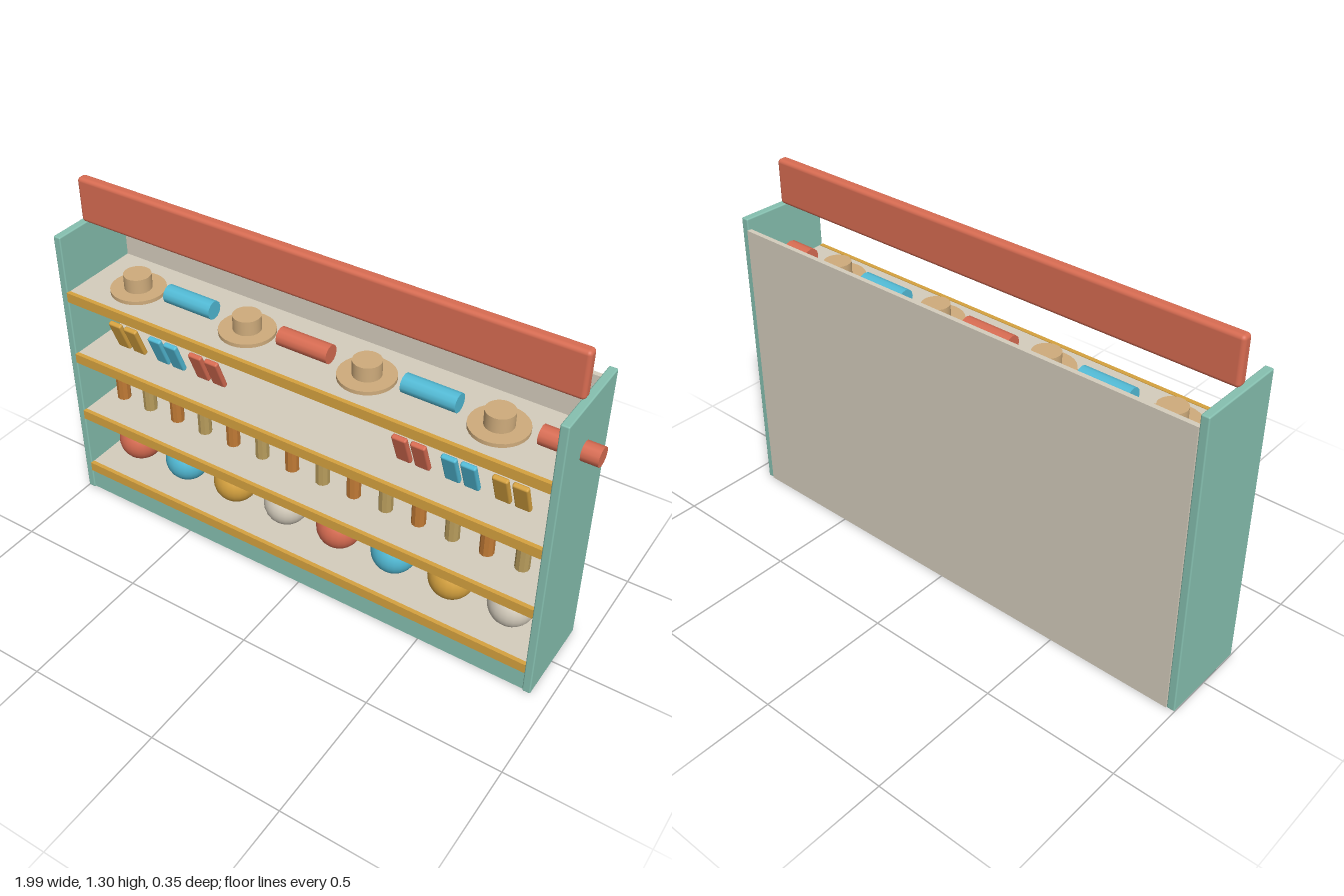
import * as THREE from 'three';
import { RoundedBoxGeometry } from 'three/addons/geometries/RoundedBoxGeometry.js';

const mat = (name, color, flatShading = false) => {
  const m = new THREE.MeshStandardMaterial({ color, flatShading });
  m.name = name;
  return m;
};

export function createModel() {
  const teal = mat('teal paint', 0x86c0b0);
  const cream = mat('cream', 0xd5cdbd);
  const gold = mat('gold', 0xd6a23f);
  const red = mat('coral red', 0xd86c52);
  const blue = mat('sky blue', 0x52bbd6);
  const tan = mat('straw', 0xcfac7c);
  const copper = mat('copper', 0xc07a35, true);
  const brass = mat('brass', 0xb89c5c, true);
  const grey = mat('grey', 0x9c988c, true);

  const root = new THREE.Group();
  root.name = 'displayShelf';
  const add = (name, geo, material, x, y, z, parent = root) => {
    const m = new THREE.Mesh(geo, material);
    m.name = name;
    m.position.set(x, y, z);
    parent.add(m);
    return m;
  };
  const group = (name) => {
    const g = new THREE.Group();
    g.name = name;
    root.add(g);
    return g;
  };
  const cx = -0.0325, inner = 1.876, itemZ = 0.018;

  // Cabinet carcass
  for (const s of [-1, 1])
    add(s < 0 ? 'rightSide' : 'leftSide', new RoundedBoxGeometry(0.03, 1.127, 0.342, 2, 0.005),
      teal, cx + s * 0.9525, 0.5635, 0);
  add('backPanel', new THREE.BoxGeometry(inner, 1.083, 0.018), cream, cx, 0.5445, -0.166);
  add('base', new THREE.BoxGeometry(inner, 0.087, 0.322), teal, cx, 0.0465, 0.004);

  // Shelves with a gold front lip
  const tops = [0.128, 0.385, 0.645, 0.908];
  for (const top of tops) {
    add('shelfBoard', new THREE.BoxGeometry(inner, 0.03, 0.315), cream, cx, top - 0.017, 0.0005);
    add('shelfLip', new THREE.BoxGeometry(inner, 0.038, 0.016), gold, cx, top - 0.019, 0.166);
  }

  // Header board
  add('headerBoard', new RoundedBoxGeometry(1.905, 0.17, 0.042, 3, 0.014), red, cx, 1.213, 0.02);

  // Bottom shelf: balls
  const balls = group('balls');
  const ballGeo = new THREE.SphereGeometry(0.085, 24, 16);
  for (let i = 0; i < 8; i++)
    add('ball', ballGeo, [red, blue, gold, cream][i % 4], -0.835 + i * 0.2295, tops[0] + 0.085, itemZ, balls);

  // Second shelf: bottles
  const bottles = group('bottles');
  const bodyGeo = new THREE.CylinderGeometry(0.026, 0.026, 0.123, 10);
  const neckGeo = new THREE.CylinderGeometry(0.014, 0.014, 0.03, 8);
  for (let i = 0; i < 14; i++) {
    const x = -0.9 + i * 0.13;
    add('bottleBody', bodyGeo, i % 2 ? brass : copper, x, tops[1] + 0.0615, itemZ, bottles);
    add('bottleNeck', neckGeo, grey, x, tops[1] + 0.136, itemZ, bottles);
  }

  // Third shelf: mirrored pairs of leaning cards
  const cards = group('cards');
  const cardGeo = new RoundedBoxGeometry(0.056, 0.13, 0.02, 2, 0.007);
  [gold, blue, red].forEach((material, i) => {
    for (const s of [-1, 1])
      for (const d of [-0.035, 0.035]) {
        const x = cx + s * (0.775 - i * 0.181) + d;
        add('card', cardGeo, material, x, tops[2] + 0.068, 0.06, cards).rotation.x = 0.36;
      }
  });

  // Top shelf: hats alternating with rolls
  const goods = group('hatsAndRolls');
  const brimGeo = new THREE.CylinderGeometry(0.1, 0.1, 0.014, 28);
  const crownGeo = new THREE.CylinderGeometry(0.05, 0.05, 0.055, 24);
  const rollGeo = new THREE.CylinderGeometry(0.034, 0.034, 0.197, 12).rotateZ(Math.PI / 2);
  const rollColours = [blue, red];
  for (let i = 0; i < 4; i++) {
    const x = -0.77 + i * 0.4755;
    add('hatBrim', brimGeo, tan, x, tops[3] + 0.007, itemZ, goods);
    add('hatCrown', crownGeo, tan, x, tops[3] + 0.041, itemZ, goods);
    add('roll', rollGeo, rollColours[i % 2], x + 0.2385, tops[3] + 0.035, itemZ, goods);
  }
  return root;
}
